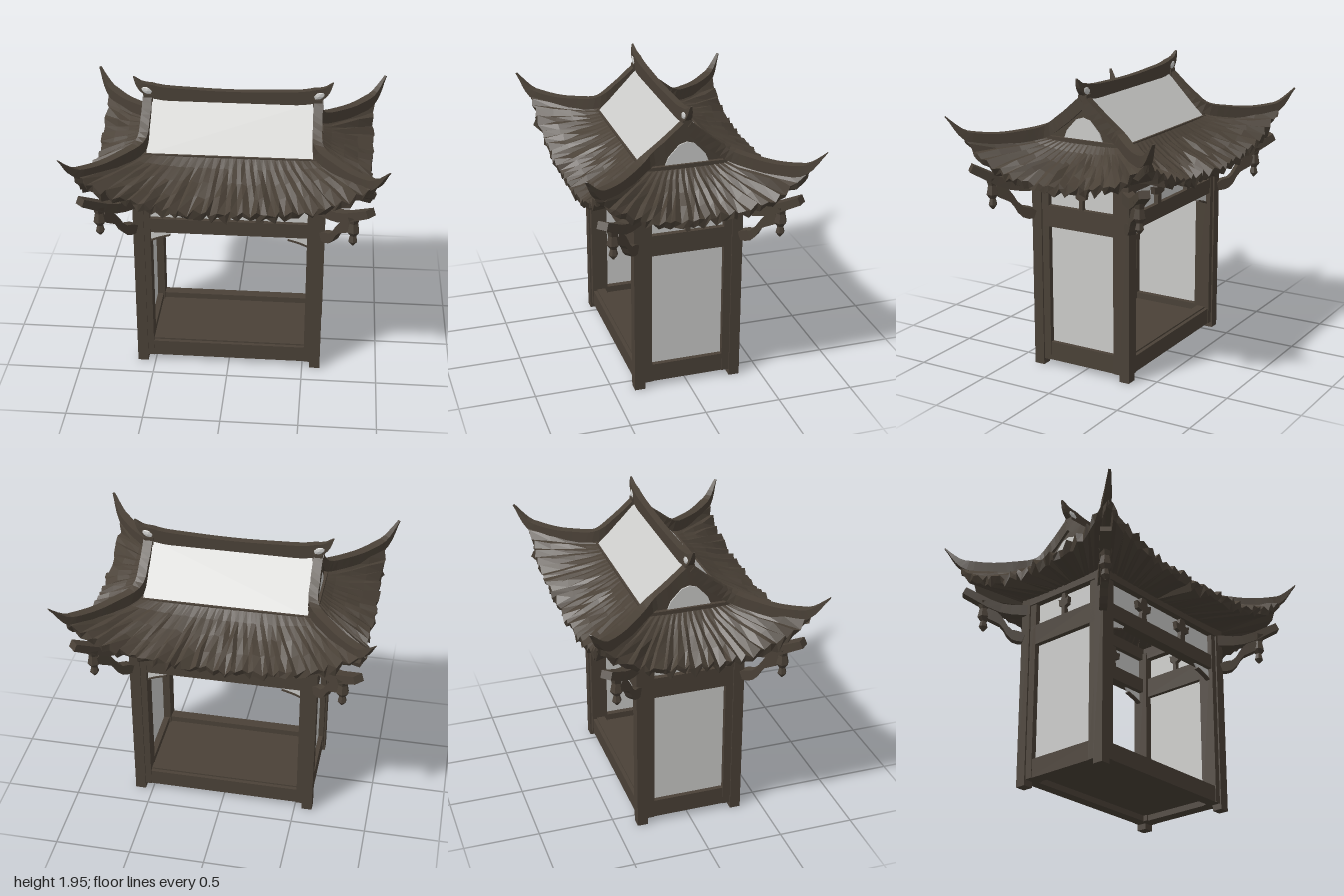
import * as THREE from 'three';

const wood = new THREE.MeshStandardMaterial({ color: 0x4a4137, flatShading: true, side: THREE.DoubleSide });
wood.name = 'darkWood';
const pale = new THREE.MeshStandardMaterial({ color: 0xcbcbc9, flatShading: true, side: THREE.DoubleSide });
pale.name = 'palePanel';

let seed = 7;
const rnd = () => ((seed = (seed * 16807) % 2147483647) / 2147483647) * 2 - 1;
const V = (x, y, z) => new THREE.Vector3(x, y, z);

export function createModel() {
  const model = new THREE.Group();
  model.name = 'pavilion';

  const add = (name, geo, mat = wood) => {
    const m = new THREE.Mesh(geo, mat);
    m.name = name;
    model.add(m);
    return m;
  };
  // box given by its limits
  const box = (name, x0, x1, y0, y1, z0, z1, mat) =>
    add(name, new THREE.BoxGeometry(Math.abs(x1 - x0), y1 - y0, Math.abs(z1 - z0)), mat)
      .position.set((x0 + x1) / 2, (y0 + y1) / 2, (z0 + z1) / 2);
  const plate = (pts, depth) => new THREE.ExtrudeGeometry(
    new THREE.Shape(pts.map(p => new THREE.Vector2(p[0], p[1]))), { depth, bevelEnabled: false });

  const gridGeometry = (pos, rows, cols) => {
    const idx = [];
    for (let r = 0; r < rows - 1; r++) for (let c = 0; c < cols - 1; c++) {
      const a = r * cols + c, b = a + cols;
      idx.push(a, b, a + 1, b, b + 1, a + 1);
    }
    const g = new THREE.BufferGeometry();
    g.setAttribute('position', new THREE.Float32BufferAttribute(pos, 3));
    g.setIndex(idx);
    g.computeVertexNormals();
    return g;
  };
  // rectangular section swept along a curve; size(t) gives [width, height]
  const sweep = (name, pts, size, n = 16) => {
    const curve = new THREE.CatmullRomCurve3(pts), pos = [];
    for (let i = 0; i <= n; i++) {
      const t = i / n, p = curve.getPoint(t), tan = curve.getTangent(t), [w, h] = size(t);
      const side = V(0, 1, 0).cross(tan).normalize(), up = tan.clone().cross(side);
      for (const [a, b] of [[-1, -1], [1, -1], [1, 1], [-1, 1], [-1, -1]]) {
        const q = p.clone().addScaledVector(side, a * w / 2).addScaledVector(up, b * h / 2);
        pos.push(q.x, q.y, q.z);
      }
    }
    const g = gridGeometry(pos, n + 1, 5), e = n * 5;
    g.setIndex([...g.index.array, 0, 1, 2, 0, 2, 3, e, e + 2, e + 1, e, e + 3, e + 2]);
    return add(name, g);
  };

  // Base
  box('floor', -0.56, 0.56, 0.08, 0.12, -0.3, 0.3);
  for (const s of [-1, 1]) {
    box('baseRail', -0.56, 0.56, 0.04, 0.15, s * 0.27, s * 0.345);
    box('baseRailLip', -0.55, 0.55, 0.12, 0.16, s * 0.26, s * 0.32);
    box('sideBaseRail', s * 0.52, s * 0.605, 0.04, 0.165, -0.3, 0.3);
  }

  // Posts, corner struts and hanging pendants
  for (const sx of [-1, 1]) for (const sz of [-1, 1]) {
    box('post', sx * 0.55, sx * 0.62, 0, 1.32, sz * 0.29, sz * 0.36);
    box('postJamb', sx * 0.51, sx * 0.61, 0.04, 1.3, sz * 0.24, sz * 0.35);
    const P = (x, y, z) => V(sx * x, y, sz * z);
    sweep('cornerStrut', [P(0.61, 1.03, 0.35), P(0.67, 1.06, 0.41), P(0.72, 1.15, 0.46), P(0.79, 1.22, 0.53)],
      t => [0.05, 0.055 + 0.02 * Math.sin(t * 9)], 8);
    sweep('cornerArm', [P(0.58, 1.23, 0.32), P(0.72, 1.24, 0.46), P(0.9, 1.36, 0.63)], t => [0.07, 0.08 - 0.03 * t], 6);
    const pend = add('pendant', new THREE.LatheGeometry(
      [[0.006, -0.11], [0.03, -0.08], [0.02, -0.04], [0.042, -0.01], [0.03, 0.05], [0.045, 0.1]]
        .map(p => new THREE.Vector2(...p)), 6));
    pend.position.set(sx * 0.8, 1.19, sz * 0.54);
  }

  // Side wall panels, beams and friezes
  for (const s of [-1, 1]) {
    box('wallPanel', s * 0.56, s * 0.575, 0.15, 0.97, -0.25, 0.25, pale);
    box('sideBeam', s * 0.53, s * 0.61, 0.96, 1.1, -0.3, 0.3);
    box('sideFrieze', s * 0.565, s * 0.575, 1.09, 1.27, -0.26, 0.26, pale);
    box('sideTopBeam', s * 0.52, s * 0.62, 1.255, 1.34, -0.33, 0.33);
    box('frontBackBeam', -0.55, 0.55, 1.0, 1.1, s * 0.27, s * 0.345);
    box('frontBackFrieze', -0.52, 0.52, 1.09, 1.27, s * 0.305, s * 0.315, pale);
    box('frontBackTopBeam', -0.55, 0.55, 1.255, 1.34, s * 0.27, s * 0.36);
  }

  // Carved brackets on the friezes
  const carved = [[-0.025, 1.1], [0.025, 1.1], [0.02, 1.16], [0.06, 1.17], [0.07, 1.22], [0.035, 1.21],
    [0.02, 1.26], [-0.02, 1.26], [-0.035, 1.21], [-0.07, 1.22], [-0.06, 1.17], [-0.02, 1.16]];
  for (const s of [-1, 1]) {
    for (const x of [-0.2, 0.2]) add('friezeBracket', plate(carved, 0.07)).position.set(x, 0, s * 0.31 - 0.035);
    const b = add('sideFriezeBracket', plate(carved.map(([x, y]) => [x * 0.6, y]), 0.07));
    b.rotation.y = Math.PI / 2;
    b.position.x = s * 0.57 - 0.035;
    // pale corner braces in the front and back openings
    for (const sx of [-1, 1]) {
      const brace = [[0.52, 1.005], [0.36, 1.005], [0.39, 0.97], [0.46, 0.95], [0.52, 0.925]].map(([x, y]) => [sx * x, y]);
      add('cornerBrace', plate(brace, 0.012), pale).position.z = s * 0.31 - 0.006;
      sweep('cornerBraceEdge', [V(sx * 0.385, 0.97, s * 0.31), V(sx * 0.46, 0.948, s * 0.31), V(sx * 0.52, 0.922, s * 0.31)],
        () => [0.03, 0.01], 4);
    }
  }

  // Rough thatched skirt roof: four sides, each with slope, fringe and soffit
  const cols = 49, rows = [0, 0.2, 0.45, 0.72, 1, 1.1, 2];
  const mix = THREE.MathUtils.lerp;
  for (let k = 0; k < 4; k++) {
    const wide = k % 2 === 0, pos = [];
    const [L0, O0, L1, O1, L2, O2] = wide ? [0.57, 0.27, 0.92, 0.665, 0.6, 0.34] : [0.27, 0.57, 0.665, 0.92, 0.34, 0.6];
    const n = wide ? cols : 37;
    const shift = Array.from({ length: n }, () => rnd() * 0.012);
    for (const t of rows) for (let c = 0; c < n; c++) {
      const u = c / (n - 1) * 2 - 1, lift = Math.pow(Math.abs(u), 3) * 0.23;
      const inner = Math.abs(u) < 0.99 ? 1 : 0;
      let a, o, y;
      if (t === 2) {
        a = u * L2; o = O2; y = 1.3;
      } else {
        const q = Math.min(t, 1);
        a = u * mix(L0, L1, q) + inner * (shift[c] + rnd() * 0.005) * q;
        o = mix(O0, O1, q) + inner * rnd() * 0.014 * q;
        y = 1.535 - 0.205 * Math.pow(q, 0.85) + lift * q;
        y += inner * q * ((c % 2 ? 0.014 : -0.014) + rnd() * 0.014);
        if (t > 1) { y -= 0.035 + Math.abs(rnd()) * 0.025; o -= 0.015; }
      }
      const [x, z] = [[a, o], [o, -a], [-a, -o], [-o, a]][k];
      pos.push(x, y, z);
    }
    add('skirtRoof', gridGeometry(pos, rows.length, n));
  }

  // Upper roof panels with wooden strips at the foot
  for (const s of [-1, 1]) {
    const quad = (x, y0, z0, y1, z1) => gridGeometry([-x, y0, s * z0, x, y0, s * z0, -x, y1, s * z1, x, y1, s * z1], 2, 2);
    add('roofPanel', quad(0.53, 1.81, 0.005, 1.53, 0.275), pale);
    box('roofFootStrip', -0.55, 0.55, 1.5, 1.535, s * 0.25, s * 0.285);
    // gable wall and its pale opening
    const gable = add('gableWall', plate([[-0.28, 1.5], [0.28, 1.5], [0.25, 1.58], [0, 1.8], [-0.25, 1.58]], 0.02));
    gable.rotation.y = Math.PI / 2;
    gable.position.x = s * 0.55 - 0.01;
    const light = add('gablePanel', plate([[-0.14, 1.55], [0.14, 1.55], [0.12, 1.6], [0.05, 1.675], [0, 1.69],
      [-0.05, 1.675], [-0.12, 1.6]], 0.008), pale);
    light.rotation.y = Math.PI / 2;
    light.position.x = s * 0.565 - 0.004;
    box('gableSill', s * 0.54, s * 0.585, 1.51, 1.55, -0.26, 0.26);
  }

  // Verges running down the gables and out along the hips to upturned tips
  for (const sx of [-1, 1]) for (const sz of [-1, 1]) {
    const path = [[0.55, 1.79, 0], [0.55, 1.68, 0.13], [0.565, 1.585, 0.265], [0.68, 1.55, 0.4],
      [0.8, 1.54, 0.53], [0.91, 1.57, 0.65], [0.995, 1.695, 0.745]];
    sweep('vergeAndHip', path.map(p => V(sx * p[0], p[1], sz * p[2])), t => {
      const taper = t < 0.78 ? 1 : Math.max(0.08, 1 - (t - 0.78) / 0.22);
      return [0.06 * Math.sqrt(taper), 0.075 * taper];
    }, 24);
  }

  // Curved main ridge with pale end ornaments
  const ridge = [[-0.64, 1.945], [-0.59, 1.885], [-0.5, 1.848], [-0.25, 1.83], [0, 1.824], [0.25, 1.83],
    [0.5, 1.848], [0.59, 1.885], [0.64, 1.945]];
  sweep('mainRidge', ridge.map(([x, y]) => V(x, y, 0)), t => {
    const k = Math.min(1, 0.06 + Math.min(t, 1 - t) * 4.5);
    return [0.045 * Math.sqrt(k), 0.09 * k];
  }, 32);
  for (const s of [-1, 1]) {
    const orn = add('ridgeOrnament', new THREE.IcosahedronGeometry(1, 1), pale);
    orn.scale.set(0.052, 0.034, 0.03);
    orn.position.set(s * 0.55, 1.858, 0);
    orn.rotation.z = s * 0.4;
    box('ridgeEndBlock', s * 0.515, s * 0.575, 1.76, 1.835, -0.03, 0.03);
  }
  return model;
}
